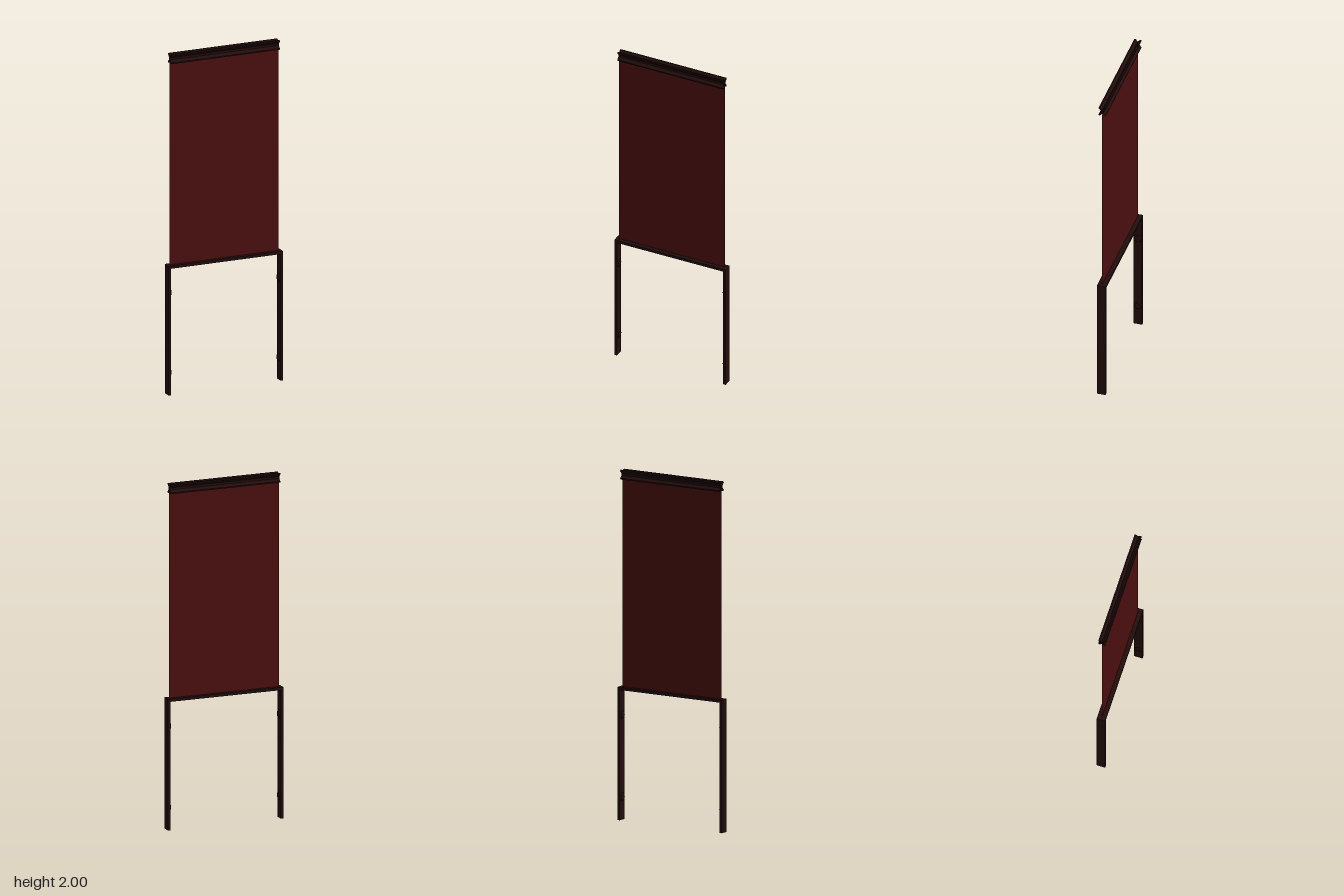
import * as THREE from 'three';

export function createModel() {
  const frameMat = new THREE.MeshStandardMaterial({ color: 0x220d0c, side: THREE.DoubleSide });
  frameMat.name = 'dark frame';
  const clothMat = new THREE.MeshStandardMaterial({ color: 0x4a0e0e, side: THREE.DoubleSide });
  clothMat.name = 'deep red panel';

  const model = new THREE.Group();
  model.name = 'standingBanner';

  function add(name, geometry, material, x, y, z = 0) {
    const mesh = new THREE.Mesh(geometry, material);
    mesh.name = name;
    mesh.position.set(x, y, z);
    model.add(mesh);
    return mesh;
  }

  // Two flat legs, each with two low round fixings on the inner face
  for (const s of [1, -1]) {
    const side = s > 0 ? 'left' : 'right';
    add(side + 'Leg', new THREE.BoxGeometry(0.016, 0.76, 0.05), frameMat, s * 0.342, 0.38);
    for (const y of [0.13, 0.6]) {
      const fixing = add(side + 'LegFixing', new THREE.CylinderGeometry(0.018, 0.025, 0.006, 16), frameMat, s * 0.331, y);
      fixing.rotation.z = s * Math.PI / 2;
    }
  }

  // Crossbar joining the legs
  add('crossbar', new THREE.BoxGeometry(0.668, 0.016, 0.05), frameMat, 0, 0.752);

  // Thin hanging panel
  add('panel', new THREE.PlaneGeometry(0.666, 1.2), clothMat, 0, 1.355);

  // Top clamp rail: four-lobed section swept along x, open at both ends
  const quarter = [[0, 0.014], [0.013, 0.0275], [0.02, 0.0275], [0.021, 0.02], [0.007, 0.006]];
  const section = [
    ...quarter,
    ...quarter.slice(1).reverse().map(([z, y]) => [z, -y]),
    ...quarter.map(([z, y]) => [-z, -y]),
    ...quarter.slice(1).reverse().map(([z, y]) => [-z, y]),
  ];
  const half = 0.333;
  const pos = [];
  section.forEach(([z0, y0], i) => {
    const [z1, y1] = section[(i + 1) % section.length];
    pos.push(-half, y0, z0, -half, y1, z1, half, y1, z1);
    pos.push(-half, y0, z0, half, y1, z1, half, y0, z0);
  });
  const rail = new THREE.BufferGeometry();
  rail.setAttribute('position', new THREE.Float32BufferAttribute(pos, 3));
  rail.computeVertexNormals();
  add('topRail', rail, frameMat, 0, 1.9725);

  return model;
}
